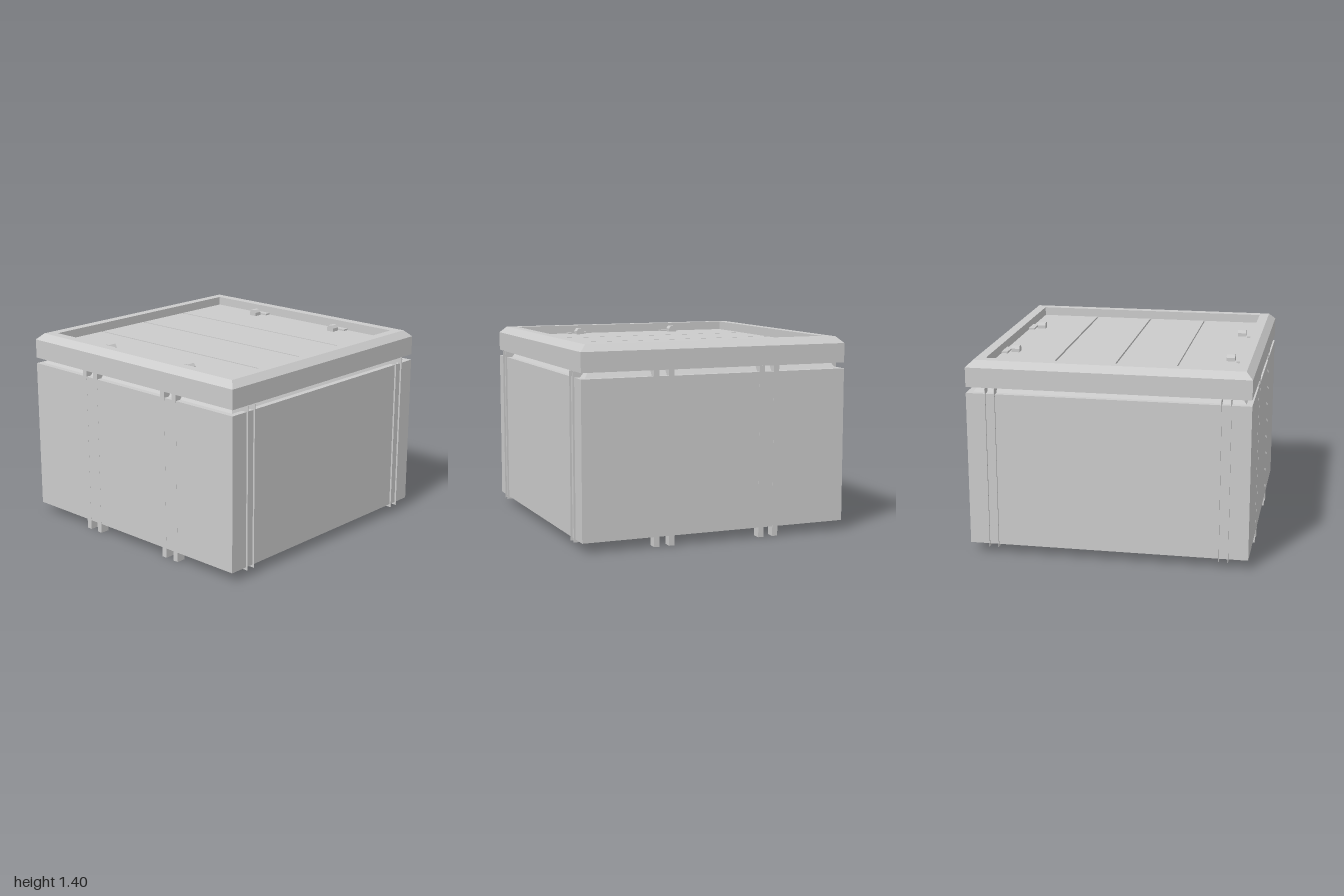
import * as THREE from 'three';

const material = new THREE.MeshStandardMaterial({
  color: 0xcccccc, flatShading: true, side: THREE.DoubleSide,
});

function add(parent, name, geometry, x = 0, y = 0, z = 0) {
  const mesh = new THREE.Mesh(geometry, material);
  mesh.name = name;
  mesh.position.set(x, y, z);
  parent.add(mesh);
  return mesh;
}

// Box given by its lower and upper limits on each axis
function block(parent, name, [x0, x1], [y0, y1], [z0, z1]) {
  return add(parent, name, new THREE.BoxGeometry(x1 - x0, y1 - y0, z1 - z0),
    (x0 + x1) / 2, (y0 + y1) / 2, (z0 + z1) / 2);
}

// Square solid swept from a profile of [half width, height]
function squareLathe(profile) {
  const points = profile.map(([w, y]) => new THREE.Vector2(w * Math.SQRT2, y));
  const geometry = new THREE.LatheGeometry(points, 4, Math.PI / 4).toNonIndexed();
  geometry.computeVertexNormals();
  return geometry;
}

// Limits of a span mirrored to the negative side when s is -1
const span = (s, a, b) => (s > 0 ? [a, b] : [-b, -a]);

export function createModel() {
  const model = new THREE.Group();
  model.name = 'crate';

  // Body with a ledge and sloped neck below the lid
  add(model, 'body', squareLathe([
    [0, 0.07], [0.987, 0.07], [0.987, 1.17], [0.945, 1.17], [0.915, 1.21], [0, 1.21],
  ]));
  block(model, 'bottomPanel', [-0.88, 0.88], [0.064, 0.08], [-0.88, 0.88]);

  // Lid with chamfered rim and recessed top
  add(model, 'lid', squareLathe([
    [0, 1.212], [0.987, 1.212], [0.987, 1.35], [0.94, 1.396],
    [0.87, 1.396], [0.87, 1.318], [0, 1.318],
  ]));

  // Planks in the recess, separated by narrow grooves
  const edges = [-0.87, -0.435, 0, 0.435, 0.87];
  for (let i = 0; i < 4; i++) {
    const left = edges[i] + (i > 0 ? 0.007 : 0);
    const right = edges[i + 1] - (i < 3 ? 0.007 : 0);
    block(model, 'lidPlank', [left, right], [1.315, 1.333], [-0.87, 0.87]);
  }

  // Chamfered latch section, extruded along x
  const section = new THREE.Shape([
    [-0.03, 0], [0.03, 0], [0.03, 0.025], [0.015, 0.045], [-0.015, 0.045], [-0.03, 0.025],
  ].map(([x, y]) => new THREE.Vector2(x, y)));
  const latch = new THREE.ExtrudeGeometry(section, { depth: 0.06, bevelEnabled: false });
  latch.translate(0, 0, -0.03).rotateY(Math.PI / 2);

  for (const sx of [1, -1]) {
    for (const sz of [1, -1]) {
      // Latches and hinge plates on the lid
      add(model, 'latch', latch, sx * 0.78, 1.333, sz * 0.395);
      block(model, 'latchPlate', span(sx, 0.825, 0.87), [1.333, 1.345], span(sz, 0.32, 0.47));

      // Side bars, ending below the body as feet
      for (const z of [0.32, 0.43]) {
        block(model, 'sideBarFoot', span(sx, 0.92, 0.9875), [0, 1.212], span(sz, z, z + 0.04));
      }
      block(model, 'footPlate', span(sx, 0.82, 0.92), [0.06, 0.08], span(sz, 0.32, 0.47));

      // Thin twin fins on the front and back, joined by a web underneath
      for (const x of [0.78, 0.846]) {
        block(model, 'strapFin', span(sx, x, x + 0.004), [0.05, 1.212], span(sz, 0.88, 1));
      }
      block(model, 'strapWeb', span(sx, 0.78, 0.85), [0.05, 0.08], span(sz, 0.88, 0.886));
    }
  }
  return model;
}
